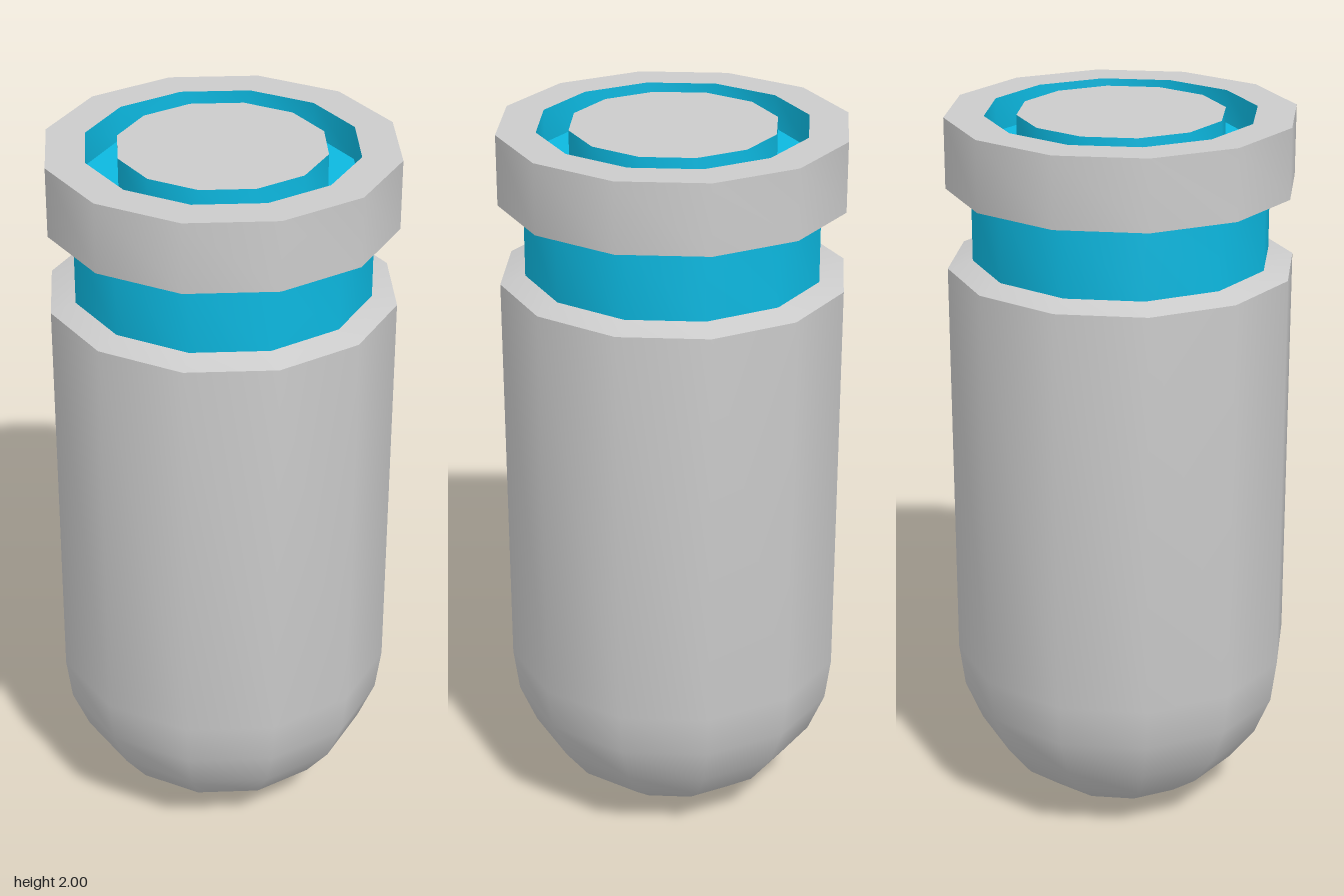
import * as THREE from 'three';
import { toCreasedNormals } from 'three/addons/utils/BufferGeometryUtils.js';

const SIDES = 12;
const R = 0.467;       // outer radius of body and cap
const NECK = 0.4;      // radius of the coloured band
const GROOVE_OUT = 0.362, GROOVE_IN = 0.277, GROOVE_Y = 1.91;

export function createModel() {
  const group = new THREE.Group();
  const grey = new THREE.MeshStandardMaterial({ color: 0xcccccc });
  const blue = new THREE.MeshStandardMaterial({ color: 0x0cb8e0 });

  // Turned part from [radius, height] points, smooth around and sharp at corners
  const turned = (name, points, material) => {
    const profile = points.map(([r, y]) => new THREE.Vector2(r, y));
    const geometry = toCreasedNormals(new THREE.LatheGeometry(profile, SIDES), 0.6);
    const mesh = new THREE.Mesh(geometry, material);
    mesh.name = name;
    group.add(mesh);
  };

  // Body: hemispherical bottom, straight wall, slightly sloped shoulder
  const body = [];
  for (let i = 0; i <= 6; i++) {
    const a = (i / 6) * Math.PI / 2;
    body.push([R * Math.sin(a), R * (1 - Math.cos(a))]);
  }
  body.push([R, 1.59], [NECK, 1.61]);
  turned('body', body, grey);

  // Coloured band between body and cap
  turned('neckBand', [[NECK, 1.6], [NECK, 1.8]], blue);

  // Cap ring with a sloped underside
  turned('capRing', [[NECK, 1.79], [R, 1.81], [R, 2], [GROOVE_OUT, 2]], grey);

  // Coloured groove sunk into the top
  turned('topGroove', [
    [GROOVE_OUT, 2], [GROOVE_OUT, GROOVE_Y], [GROOVE_IN, GROOVE_Y], [GROOVE_IN, 2],
  ], blue);

  // Central disc inside the groove
  turned('topDisc', [[GROOVE_IN, 2], [0, 2]], grey);

  return group;
}
